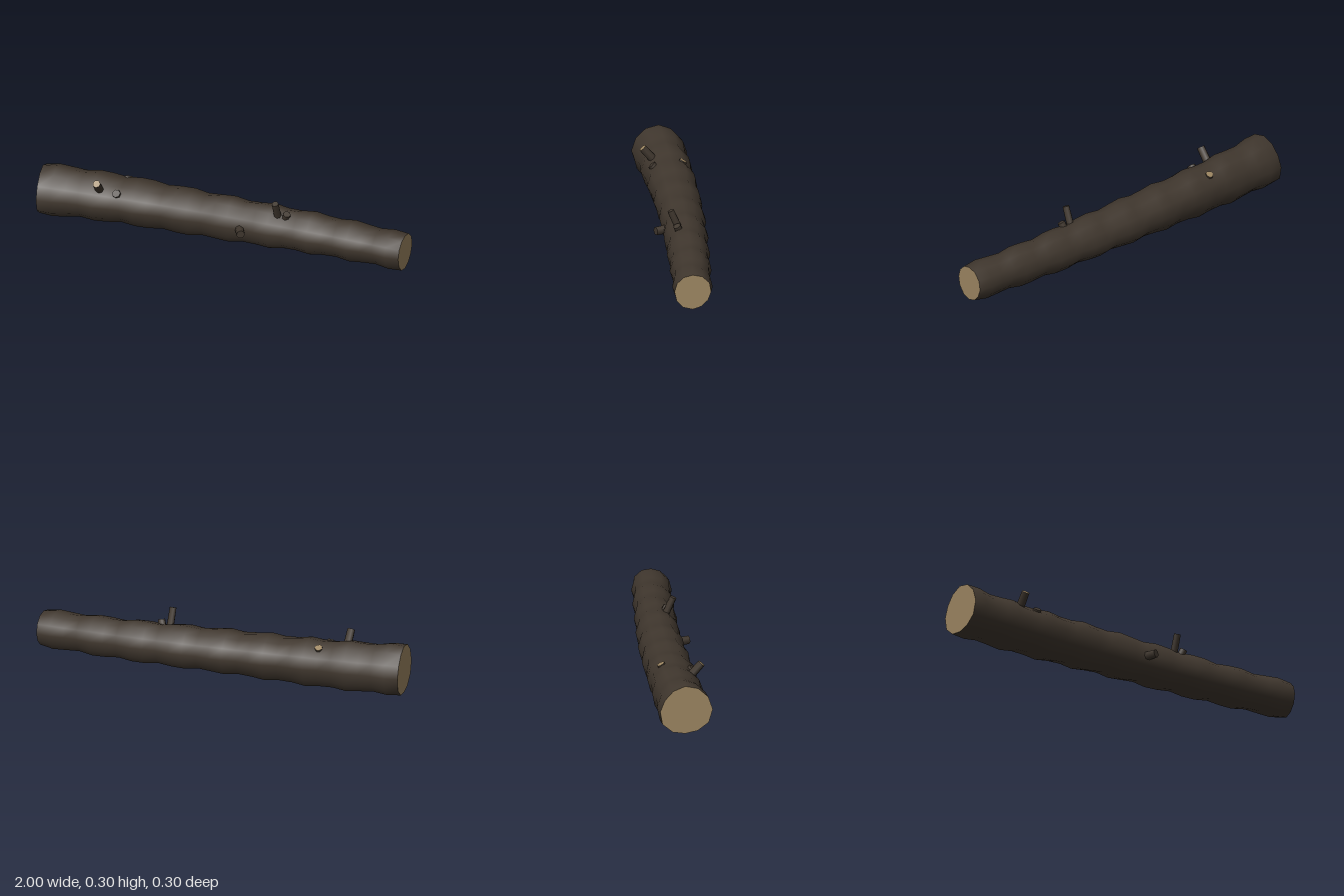
import * as THREE from 'three';

const SIDES = 12, RINGS = 27, END = 0.991;

// Gently bowed centre line and tapering, knobbly radius
const centre = x => new THREE.Vector3(x, 0.13 - 0.02 * x, -0.034 * (1 - x * x));
const radius = (x, a) => 0.115 - 0.018 * x
  + 0.0065 * Math.cos((x + 0.92) * Math.PI * 2 / 0.23 + 0.6 * Math.sin(2 * a))
  + 0.003 * Math.sin(3 * a + 5 * x) * (1 - 0.5 * x)
  + 0.016 * Math.exp(-12 * (x + 1)) * Math.max(0, Math.sin(a)) ** 3;

// One cross-section, square to the centre line
function ring(x) {
  const c = centre(x), slope = 0.068 * x, pts = [];
  for (let j = 0; j < SIDES; j++) {
    const a = j / SIDES * Math.PI * 2, r = radius(x, a);
    const dz = Math.sin(a) * r;
    pts.push(new THREE.Vector3(c.x - slope * dz, c.y + Math.cos(a) * r, c.z + dz));
  }
  return pts;
}

function surface(points, index) {
  const g = new THREE.BufferGeometry().setFromPoints(points);
  g.setIndex(index);
  g.computeVertexNormals();
  return g;
}

function trunkGeometry() {
  const pts = [], index = [];
  for (let i = 0; i <= RINGS; i++) pts.push(...ring(-END + 2 * END * i / RINGS));
  for (let i = 0; i < RINGS; i++) {
    for (let j = 0; j < SIDES; j++) {
      const k = (j + 1) % SIDES;
      const a = i * SIDES + j, b = i * SIDES + k, c = a + SIDES, d = b + SIDES;
      index.push(a, b, c, b, d, c);
    }
  }
  return surface(pts, index);
}

function capGeometry(side) {
  const pts = [centre(side * END), ...ring(side * END)], index = [];
  for (let j = 0; j < SIDES; j++) {
    const a = 1 + j, b = 1 + (j + 1) % SIDES;
    index.push(0, ...(side > 0 ? [a, b] : [b, a]));
  }
  return surface(pts, index);
}

export function createModel() {
  const bark = new THREE.MeshStandardMaterial({ color: 0x40372e });
  bark.name = 'bark';
  const wood = new THREE.MeshStandardMaterial({ color: 0x9d8662 });
  wood.name = 'cut wood';

  const log = new THREE.Group();
  log.name = 'log';
  const add = (name, geometry, material) => {
    const mesh = new THREE.Mesh(geometry, material);
    mesh.name = name;
    log.add(mesh);
    return mesh;
  };

  add('trunk', trunkGeometry(), bark);
  add('leftCutEnd', capGeometry(1), wood);
  add('rightCutEnd', capGeometry(-1), wood);

  // Broken branch stubs: base, tip, radius, tip material
  const stubs = [
    [[-0.66, 0.19, 0.03], [-0.66, 0.286, 0.113], 0.021, wood],
    [[0.3, 0.19, 0.005], [0.297, 0.3, 0.052], 0.018, bark],
    [[-0.56, 0.18, 0.03], [-0.565, 0.227, 0.075], 0.022, bark],
    [[-0.55, 0.19, -0.06], [-0.552, 0.25, -0.09], 0.021, wood],
    [[0.1, 0.125, 0.05], [0.13, 0.125, 0.116], 0.022, bark],
    [[0.335, 0.18, 0.0], [0.352, 0.235, 0.025], 0.02, bark],
  ];
  const up = new THREE.Vector3(0, 1, 0);
  stubs.forEach(([from, to, r, tip], i) => {
    const a = new THREE.Vector3(...from), b = new THREE.Vector3(...to);
    const dir = b.clone().sub(a);
    const geometry = new THREE.CylinderGeometry(r, r * 1.1, dir.length(), 7);
    const stub = add('branchStub' + (i + 1), geometry, [bark, tip, bark]);
    stub.position.copy(a).add(b).multiplyScalar(0.5);
    stub.quaternion.setFromUnitVectors(up, dir.normalize());
  });
  return log;
}
